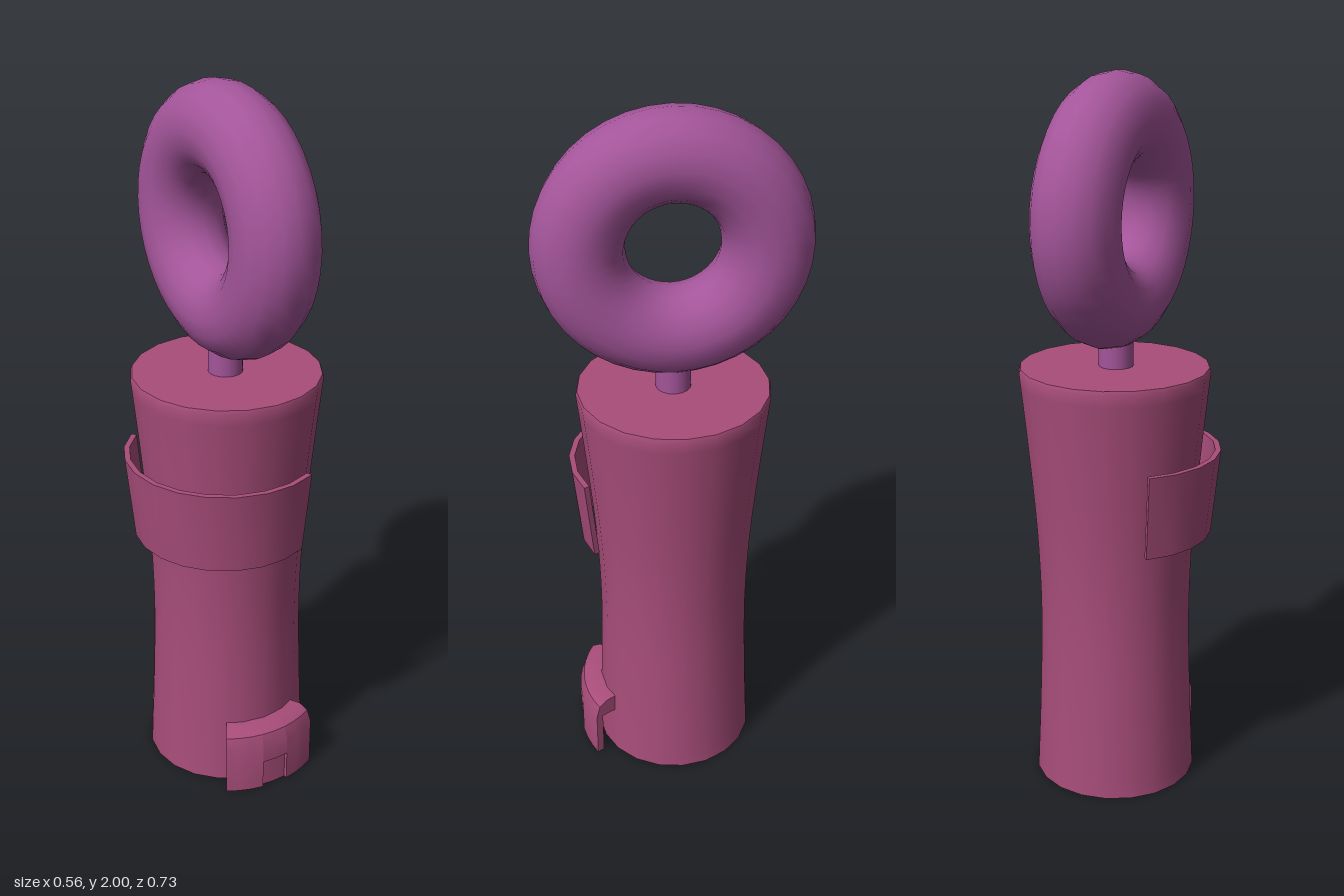
import * as THREE from 'three';
import { mergeGeometries, toCreasedNormals } from 'three/addons/utils/BufferGeometryUtils.js';

const bodyMaterial = new THREE.MeshStandardMaterial({ color: 0xa84d7a, side: THREE.DoubleSide });
const ringMaterial = new THREE.MeshStandardMaterial({ color: 0xa4559a, side: THREE.DoubleSide });
const rad = THREE.MathUtils.degToRad;
const toPoints = (list) => list.map(([r, y]) => new THREE.Vector2(r, y));

function addMesh(parent, name, geometry, material, x, y, z) {
  const mesh = new THREE.Mesh(geometry, material);
  mesh.name = name;
  mesh.position.set(x, y, z);
  parent.add(mesh);
  return mesh;
}

// Closed (radius, height) outline swept between two angles, measured from +z
// towards +x, with flat ends.
function sector(outline, fromDeg, toDeg, segments) {
  const pts = toPoints(outline);
  const from = rad(fromDeg), to = rad(toDeg);
  const swept = new THREE.LatheGeometry([...pts, pts[0].clone()], segments, from, to - from);
  const parts = [toCreasedNormals(swept, 0.6)];
  for (const angle of [from, to]) {
    const cap = new THREE.ShapeGeometry(new THREE.Shape(pts)).toNonIndexed();
    parts.push(cap.rotateY(angle - Math.PI / 2));
  }
  return mergeGeometries(parts);
}

export function createModel() {
  const model = new THREE.Group();
  model.name = 'keyringHandle';
  const cx = 0.012;

  // Waisted handle, closed on top and open underneath
  const waist = new THREE.SplineCurve(toPoints([
    [0.23, 0], [0.219, 0.25], [0.213, 0.5], [0.221, 0.74], [0.243, 1.0], [0.264, 1.205],
  ])).getPoints(20);
  const profile = [...waist, ...toPoints([[0.26, 1.215], [0, 1.215]])];
  addMesh(model, 'handleBody',
    toCreasedNormals(new THREE.LatheGeometry(profile, 20, Math.PI / 2), 0.6), bodyMaterial, cx, 0, 0);

  // Flared clip band wrapped round one side
  const band = [[0.238, 0.74], [0.254, 0.74], [0.279, 0.98], [0.263, 0.98]];
  addMesh(model, 'clipBand', sector(band, -140, 28, 10), bodyMaterial, -0.002, 0, 0.01);

  // Hollow catch at the foot, with a shallow recess in the middle
  const catchGroup = new THREE.Group();
  catchGroup.name = 'footCatch';
  catchGroup.position.x = cx;
  model.add(catchGroup);
  const shell = [
    [0.265, 0], [0.287, 0], [0.287, 0.145], [0.275, 0.18], [0.25, 0.195],
    [0.19, 0.195], [0.19, 0.14], [0.265, 0.14],
  ];
  const recessed = [
    [0.265, 0], [0.277, 0], [0.277, 0.09], [0.287, 0.09], ...shell.slice(2),
  ];
  addMesh(catchGroup, 'catchRightSide', sector(shell, -30, -8, 3), bodyMaterial, 0, 0, 0);
  addMesh(catchGroup, 'catchRecess', sector(recessed, -8, 8, 2), bodyMaterial, 0, 0, 0);
  addMesh(catchGroup, 'catchLeftSide', sector(shell, 8, 30, 3), bodyMaterial, 0, 0, 0);

  // Short post carrying the ring
  addMesh(model, 'ringPost', new THREE.CylinderGeometry(0.048, 0.048, 0.13, 16),
    ringMaterial, 0.008, 1.265, 0);

  // Upright ring facing sideways
  const ring = new THREE.TorusGeometry(0.244, 0.121, 16, 40).scale(1, 1, 0.95).rotateY(Math.PI / 2);
  addMesh(model, 'ring', ring, ringMaterial, 0.008, 1.635, 0);

  return model;
}
